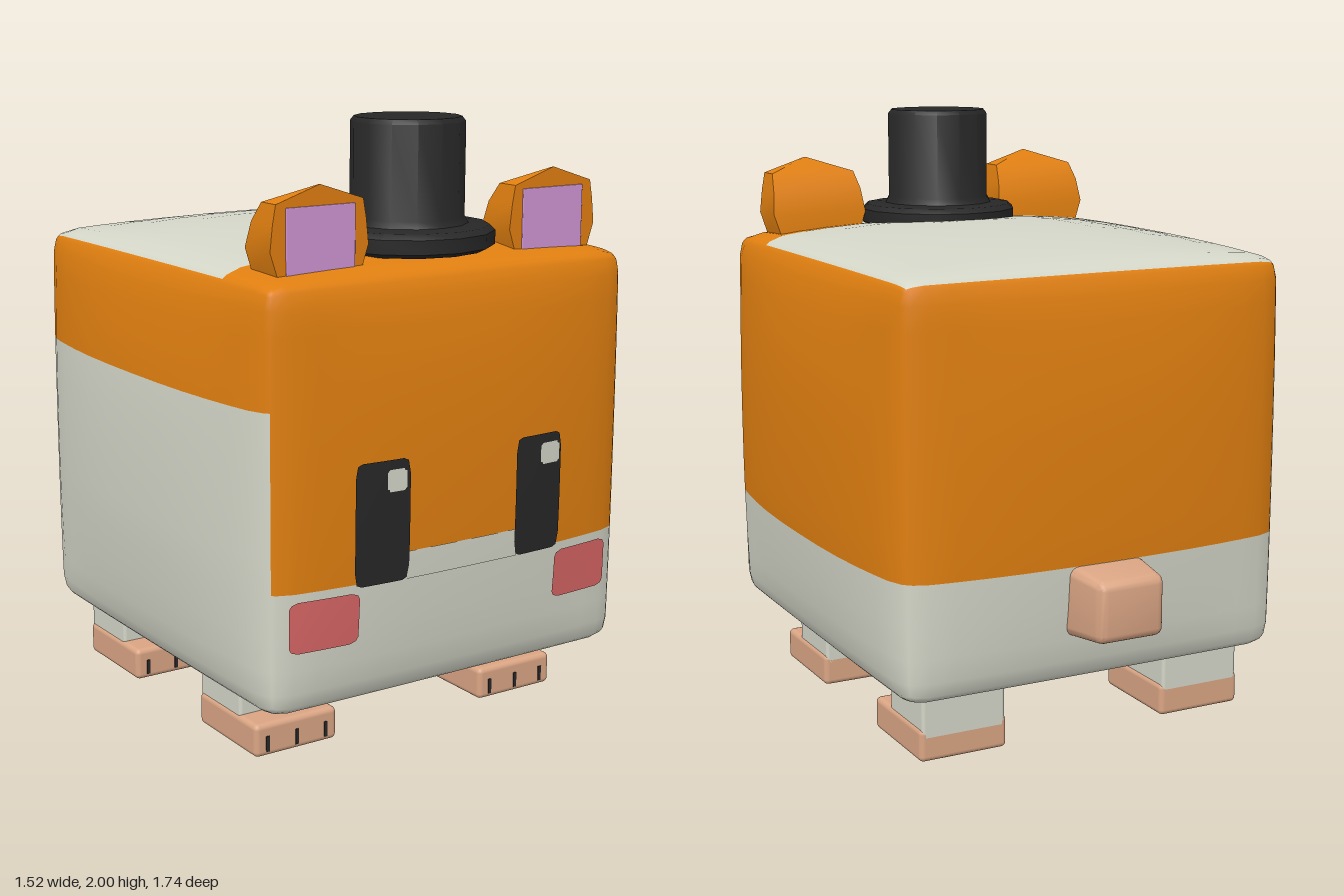
import * as THREE from 'three';
import { mergeVertices, toCreasedNormals } from 'three/addons/utils/BufferGeometryUtils.js';
import { RoundedBoxGeometry } from 'three/addons/geometries/RoundedBoxGeometry.js';

const mat = (name, color) => {
  const m = new THREE.MeshStandardMaterial({ color });
  m.name = name;
  return m;
};
const orange = mat('orange fur', 0xe07f10);
const cream = mat('pale belly', 0xd4d6c8);
const black = mat('black', 0x272727);
const rose = mat('cheek red', 0xd96666);
const pink = mat('inner ear pink', 0xd094d4);
const tan = mat('paw tan', 0xdaa584);

// Body box: half sizes, centre, corner radius and the height of the colour split
const HALF = new THREE.Vector3(0.69, 0.6725, 0.735);
const MID = new THREE.Vector3(0, 0.8875, 0.08);
const RADIUS = 0.07;
const SPLIT = 0.62;

// Swelling of a face: full in the middle, none at its edges
const swell = (u, v) =>
  Math.max(0, 1 - Math.abs(u) ** 2.5) * Math.max(0, 1 - Math.abs(v) ** 2.5);
const frontZ = (x, y) =>
  MID.z + HALF.z + 0.055 * swell(x / HALF.x, (y - MID.y) / HALF.y);

function bodyGeometry() {
  const n = 14;
  const box = new THREE.BoxGeometry(2, 2, 2, n, n, n);
  box.deleteAttribute('normal');
  box.deleteAttribute('uv');
  const geo = mergeVertices(box, 1e-4);
  const pos = geo.attributes.position;
  const p = new THREE.Vector3(), q = new THREE.Vector3();
  const inner = HALF.clone().subScalar(RADIUS);
  const outer = inner.clone().negate();
  const spread = (t) => Math.sign(t) * (1 - Math.max(0, 1 - Math.abs(t)) ** 1.7);
  for (let i = 0; i < pos.count; i++) {
    p.fromBufferAttribute(pos, i);
    p.set(spread(p.x), spread(p.y), spread(p.z)).multiply(HALF);
    // one row of vertices lies exactly on the colour split
    if (Math.abs(p.y + MID.y - SPLIT) < 0.04) p.y = SPLIT - MID.y;
    // round the edges
    q.copy(p).clamp(outer, inner);
    p.sub(q).setLength(RADIUS).add(q);
    // swell the faces
    const u = p.clone().divide(HALF);
    p.x += 0.07 * Math.sign(u.x) * Math.abs(u.x) ** 8 * swell(u.y, u.z);
    p.y += (u.y > 0 ? 0.065 : -0.015) * Math.abs(u.y) ** 8 * swell(u.x, u.z);
    p.z += 0.055 * Math.sign(u.z) * Math.abs(u.z) ** 8 * swell(u.x, u.y);
    p.add(MID);
    pos.setXYZ(i, p.x, p.y, p.z);
  }
  // sort the triangles into upper and lower colour groups
  const idx = geo.index.array, upper = [], lower = [];
  for (let i = 0; i < idx.length; i += 3) {
    const t = [idx[i], idx[i + 1], idx[i + 2]];
    const y = (pos.getY(t[0]) + pos.getY(t[1]) + pos.getY(t[2])) / 3;
    (y > SPLIT ? upper : lower).push(...t);
  }
  geo.setIndex([...upper, ...lower]);
  geo.addGroup(0, upper.length, 0);
  geo.addGroup(upper.length, lower.length, 1);
  geo.computeVertexNormals();
  return geo;
}

// Thin painted patch that follows the curved face; corners slightly rounded
function facePatch(x0, x1, y0, y1, lift, corner = 0.015) {
  const w = x1 - x0, h = y1 - y0;
  const geo = new THREE.PlaneGeometry(w, h, 8, 8);
  geo.translate((x0 + x1) / 2, (y0 + y1) / 2, 0);
  const pos = geo.attributes.position;
  for (let i = 0; i < pos.count; i++) {
    let x = pos.getX(i), y = pos.getY(i);
    const cornerX = Math.min(x - x0, x1 - x) < 1e-5;
    const cornerY = Math.min(y - y0, y1 - y) < 1e-5;
    if (cornerX && cornerY) {
      x += (x < (x0 + x1) / 2 ? 1 : -1) * corner * 0.5;
      y += (y < (y0 + y1) / 2 ? 1 : -1) * corner * 0.5;
    }
    pos.setXYZ(i, x, y, frontZ(x, y) + lift);
  }
  geo.computeVertexNormals();
  return geo;
}

// Ear: flat in front, narrowing and thinning row by row towards the tip
function earGeometry() {
  const rows = [ // height, half width, depth
    [1.55, 0.145, 0.145], [1.64, 0.175, 0.142], [1.72, 0.166, 0.12],
    [1.78, 0.155, 0.08], [1.83, 0.002, 0.005],
  ];
  const geo = new THREE.BoxGeometry(2, rows.length - 1, 1, 1, rows.length - 1, 1);
  const pos = geo.attributes.position;
  for (let i = 0; i < pos.count; i++) {
    const [y, w, d] = rows[Math.round(pos.getY(i) + (rows.length - 1) / 2)];
    pos.setXYZ(i, pos.getX(i) * w, y, pos.getZ(i) > 0 ? 0.72 : 0.72 - d);
  }
  return toCreasedNormals(geo, 0.6);
}

export function createModel() {
  const model = new THREE.Group();
  model.name = 'hamster';
  const add = (name, geo, material, x = 0, y = 0, z = 0, parent = model) => {
    const mesh = new THREE.Mesh(geo, material);
    mesh.name = name;
    mesh.position.set(x, y, z);
    parent.add(mesh);
    return mesh;
  };

  add('body', bodyGeometry(), [orange, cream]);

  // Face
  add('muzzle', facePatch(-0.22, 0.21, 0.61, 0.70, 0.003, 0), cream);
  add('rightEye', facePatch(-0.41, -0.215, 0.61, 1.0, 0.005), black);
  add('leftEye', facePatch(0.2, 0.39, 0.61, 1.0, 0.005), black);
  add('rightEyeGlint', facePatch(-0.3, -0.23, 0.9, 0.97, 0.008), cream);
  add('leftEyeGlint', facePatch(0.3, 0.38, 0.9, 0.97, 0.008), cream);
  add('rightCheek', facePatch(-0.63, -0.39, 0.43, 0.595, 0.006), rose);
  add('leftCheek', facePatch(0.38, 0.615, 0.43, 0.595, 0.006), rose);

  // Ears
  for (const [side, s] of [['left', 1], ['right', -1]]) {
    add(side + 'Ear', earGeometry(), orange, s * 0.447);
    add(side + 'InnerEar', new RoundedBoxGeometry(0.245, 0.205, 0.008, 2, 0.003),
      pink, s * 0.445, 1.665, 0.721);
  }

  // Top hat
  const profile = [
    [0, 1.585], [0.25, 1.585], [0.28, 1.6], [0.28, 1.645], [0.262, 1.662],
    [0.195, 1.667], [0.182, 1.69], [0.182, 1.985], [0.17, 2], [0, 2],
  ].map(([r, y]) => new THREE.Vector2(r, y));
  add('topHat', toCreasedNormals(new THREE.LatheGeometry(profile, 14), 0.7),
    black, 0, 0, 0.54);

  // Legs and feet
  for (const [end, z0] of [['front', 0.23], ['back', -0.57]]) {
    for (const [side, s] of [['Left', 1], ['Right', -1]]) {
      const leg = new THREE.Group();
      leg.name = end + side + 'Leg';
      leg.position.set(s * 0.448, 0, z0);
      model.add(leg);
      add('shin', new RoundedBoxGeometry(0.295, 0.2, 0.25, 2, 0.012),
        cream, 0, 0.17, 0.125, leg);
      add('foot', new RoundedBoxGeometry(0.31, 0.11, 0.358, 3, 0.018),
        tan, 0, 0.055, 0.179, leg);
      for (const x of [-0.11, 0, 0.11]) {
        add('toeLine', new THREE.BoxGeometry(0.012, 0.052, 0.006),
          black, x, 0.043, 0.358, leg);
      }
    }
  }

  // Tail, tapering backwards
  const tail = new RoundedBoxGeometry(0.3, 0.255, 0.27, 3, 0.035);
  const pos = tail.attributes.position;
  for (let i = 0; i < pos.count; i++) {
    const k = 1 - 0.22 * (0.5 - pos.getZ(i) / 0.27);
    pos.setX(i, pos.getX(i) * k);
    pos.setY(i, pos.getY(i) * k);
  }
  add('tail', toCreasedNormals(tail, 0.7), tan, 0, 0.503, -0.73);

  return model;
}
